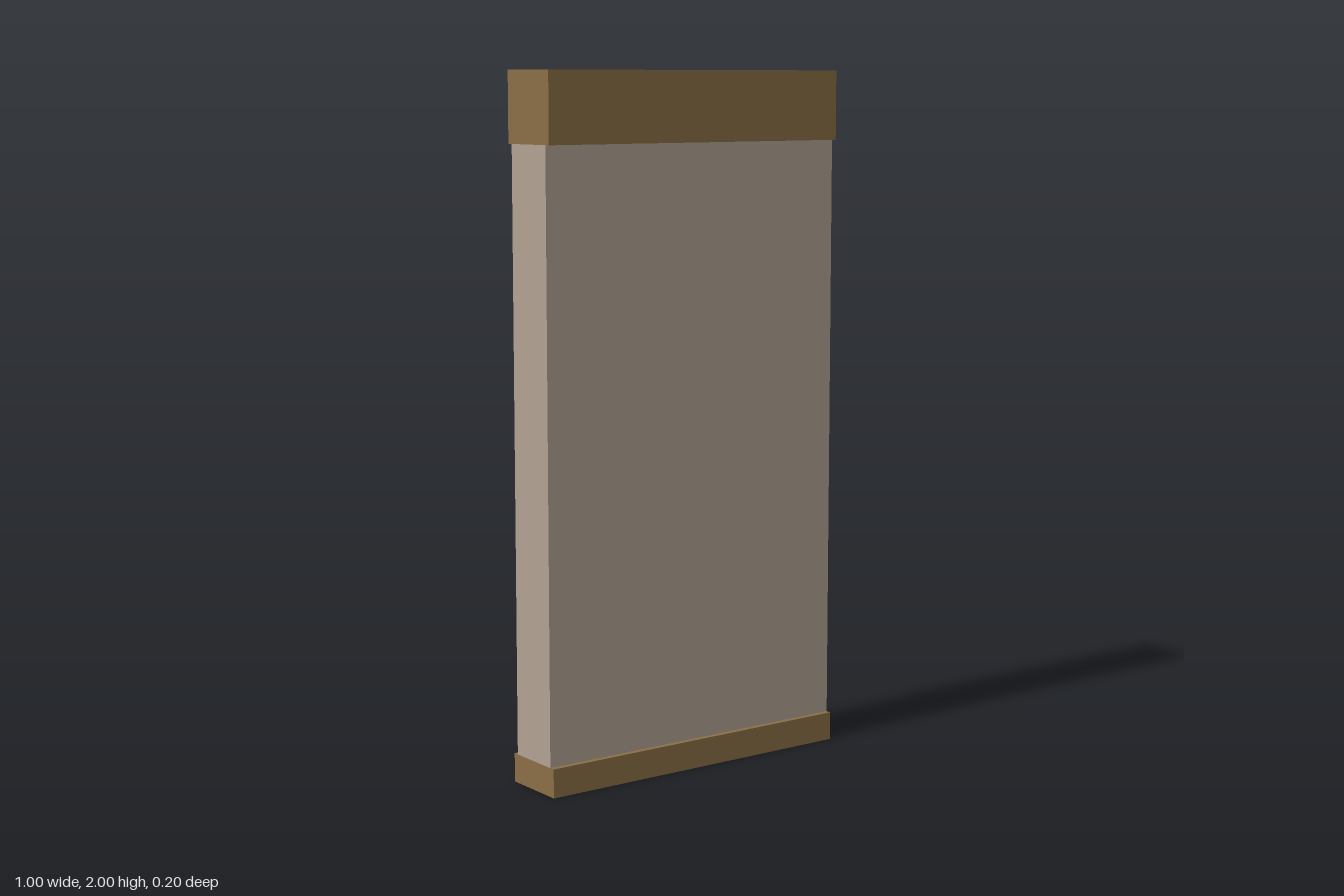
import * as THREE from 'three';

export function createModel() {
  const wood = new THREE.MeshStandardMaterial({ color: 0x8b6f47 });
  wood.name = 'brown wood';
  const plaster = new THREE.MeshStandardMaterial({ color: 0xb2a293 });
  plaster.name = 'pale plaster';

  const group = new THREE.Group();
  group.name = 'wallPanel';

  // Full-width slab between two heights
  const slab = (name, bottom, top, depth, material) => {
    const mesh = new THREE.Mesh(new THREE.BoxGeometry(1, top - bottom, depth), material);
    mesh.name = name;
    mesh.position.y = (bottom + top) / 2;
    group.add(mesh);
  };

  slab('baseBoard', 0, 0.083, 0.2, wood);
  slab('wall', 0.083, 1.8, 0.167, plaster);
  slab('topBeam', 1.8, 2, 0.2, wood);

  return group;
}
